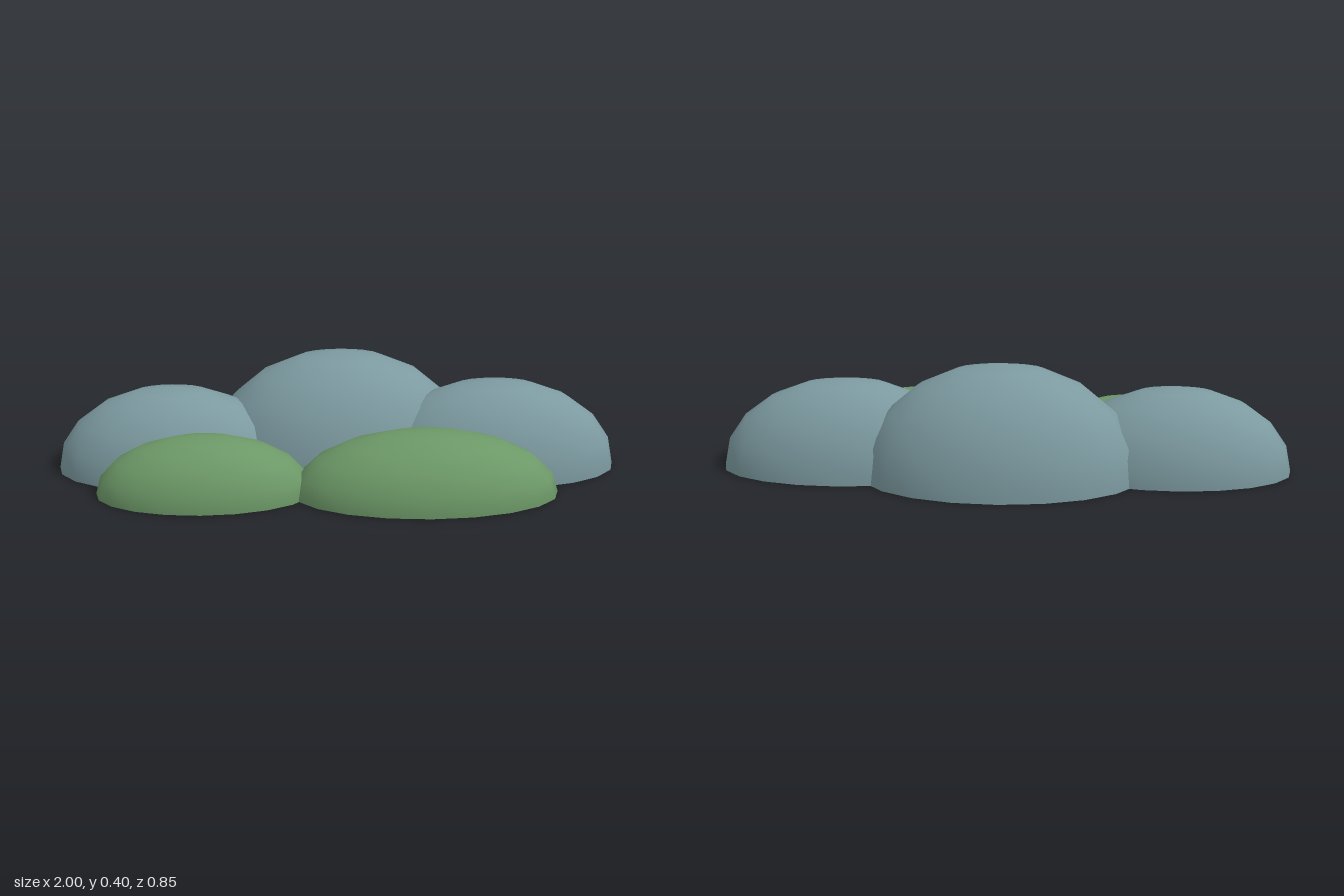
import * as THREE from 'three';

export function createModel() {
  const group = new THREE.Group();
  const blue = new THREE.MeshStandardMaterial({ color: 0x7c9aa0 });
  blue.name = 'hazy blue';
  const green = new THREE.MeshStandardMaterial({ color: 0x6c9867 });
  green.name = 'leaf green';

  // Unit half dome and its flat underside
  const dome = new THREE.SphereGeometry(1, 20, 5, 0, Math.PI * 2, 0, Math.PI / 2);
  const base = new THREE.CircleGeometry(1, 20).rotateX(Math.PI / 2);

  function hill(name, material, x, z, rx, height, rz, lift = 0) {
    const part = new THREE.Group();
    part.name = name;
    const top = new THREE.Mesh(dome, material);
    top.name = name + 'Dome';
    const bottom = new THREE.Mesh(base, material);
    bottom.name = name + 'Base';
    bottom.position.y = lift;
    part.add(top, bottom);
    part.position.set(x, 0, z);
    part.scale.set(rx, height, rz);
    group.add(part);
  }

  // Back row of tall hills
  hill('rightBackHill', blue, -0.59, -0.05, 0.41, 0.3, 0.23);
  hill('middleBackHill', blue, 0.01, -0.143, 0.48, 0.4, 0.285);
  hill('leftBackHill', blue, 0.555, -0.04, 0.44, 0.32, 0.228);

  // Front row of low hills, undersides raised a hair where they overlap the back row
  hill('rightFrontHill', green, -0.46, 0.19, 0.37, 0.205, 0.188, 0.004);
  hill('leftFrontHill', green, 0.29, 0.21, 0.455, 0.224, 0.215, 0.004);

  return group;
}
